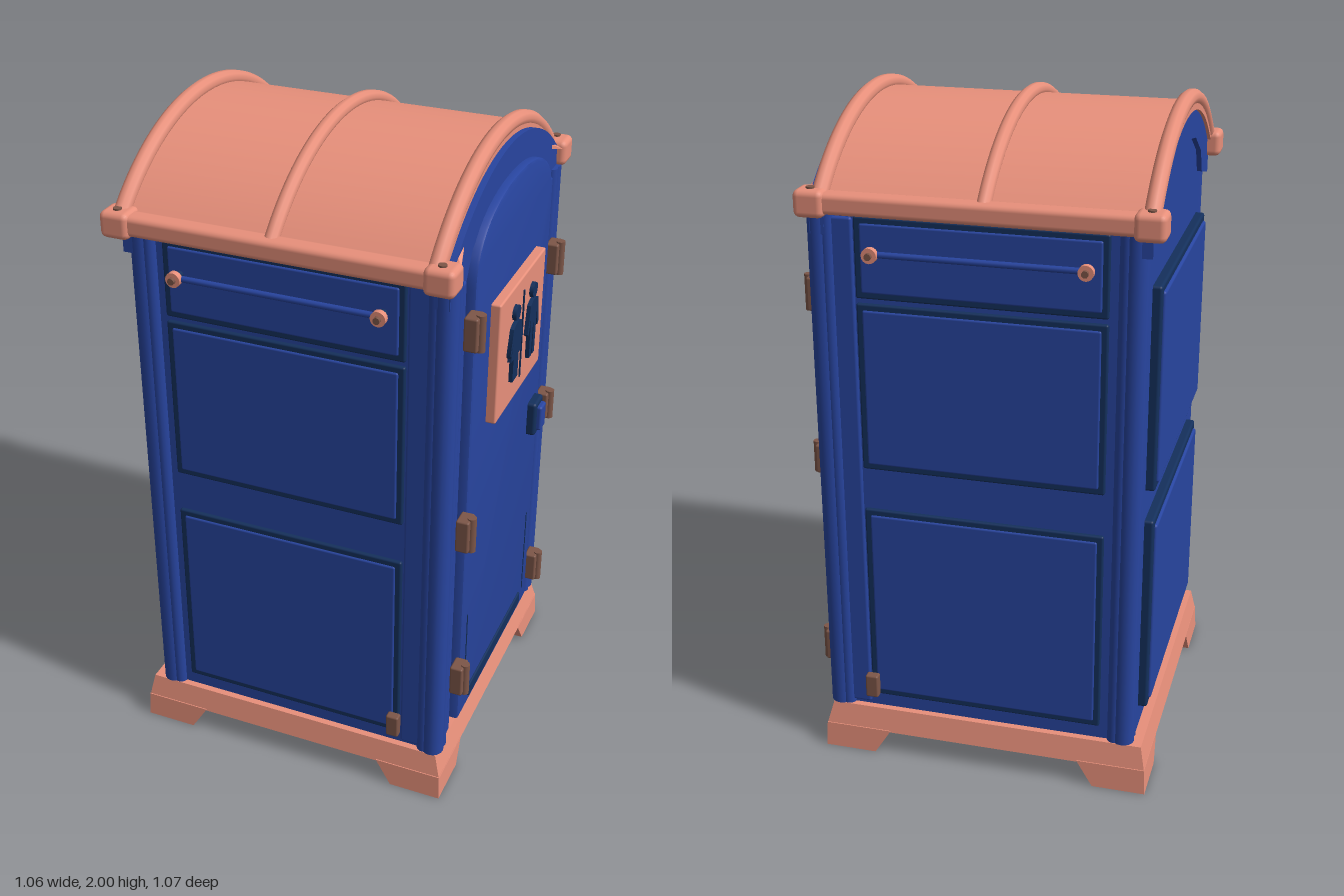
import * as THREE from 'three';
import { toCreasedNormals } from 'three/addons/utils/BufferGeometryUtils.js';
import { RoundedBoxGeometry } from 'three/addons/geometries/RoundedBoxGeometry.js';
import { ConvexGeometry } from 'three/addons/geometries/ConvexGeometry.js';

const paint = (color) => new THREE.MeshStandardMaterial({ color, side: THREE.DoubleSide });

export function createModel() {
  const model = new THREE.Group();
  const salmon = paint(0xe8907b), blue = paint(0x2845a0), navy = paint(0x14305c), brown = paint(0x7d5648);

  const add = (name, geo, mat, x = 0, y = 0, z = 0) => {
    const m = new THREE.Mesh(geo, mat);
    m.name = name;
    m.position.set(x, y, z);
    model.add(m);
    return m;
  };
  // box given by its limits, with optional rounding
  const block = (name, mat, x0, x1, y0, y1, z0, z1, r = 0) => {
    const s = [x1 - x0, y1 - y0, z1 - z0];
    const geo = r ? new RoundedBoxGeometry(...s, 2, r) : new THREE.BoxGeometry(...s);
    return add(name, geo, mat, (x0 + x1) / 2, (y0 + y1) / 2, (z0 + z1) / 2);
  };
  // outline drawn as seen from the door side (u = -z), extruded from x0 to x1
  const slab = (name, mat, shape, x0, x1, bevel = 0) => {
    const geo = new THREE.ExtrudeGeometry(shape, {
      depth: x1 - x0 - 2 * bevel, curveSegments: 12, bevelEnabled: bevel > 0,
      bevelSize: bevel, bevelThickness: bevel, bevelOffset: -bevel, bevelSegments: 2,
    });
    geo.translate(0, 0, bevel);
    geo.rotateY(Math.PI / 2);
    return add(name, toCreasedNormals(geo, 0.6), mat, x0);
  };
  const poly = (pts) => new THREE.Shape(pts.map((p) => new THREE.Vector2(...p)));

  // circular roof arch: height at distance u from the middle
  const archY = (u, top) => top - 0.688 + Math.sqrt(0.688 ** 2 - u * u);
  const arch = (half, top, n = 24) => Array.from({ length: n + 1 }, (_, i) => {
    const u = half - (2 * half * i) / n;
    return [u, archY(u, top)];
  });

  // base: tapered deck on four chamfered feet
  const ring = (x0, x1, z, y) => [[x0, y, z], [x1, y, z], [x0, y, -z], [x1, y, -z]];
  const hull = (name, pts) => add(name, new ConvexGeometry(pts.map((p) => new THREE.Vector3(...p))), salmon);
  hull('baseDeck', [...ring(-0.52, 0.485, 0.5, 0.075), ...ring(-0.505, 0.465, 0.485, 0.15)]);
  for (const sx of [-1, 1]) for (const sz of [-1, 1]) {
    const foot = (o, i, c, y) => [[o, o], [o, i], [i + c, i], [i, i + c], [i, o]]
      .map(([a, b]) => [sx * a - 0.018, y, sz * b]);
    hull('baseFoot', [...foot(0.506, 0.345, 0.05, 0), ...foot(0.502, 0.295, 0.07, 0.08)]);
  }

  // cabin core with arched gables
  slab('cabin', blue, poly([[-0.465, 0.15], [0.465, 0.15], ...arch(0.465, 1.95)]), -0.475, 0.435);

  // ridged corner posts
  for (const sx of [-1, 1]) for (const sz of [-1, 1]) {
    const post = (x, z, r) =>
      add('cornerPost', new THREE.CylinderGeometry(r, r, 1.57, 16), blue, sx * x, 0.935, sz * z);
    post(0.445, 0.455, 0.034);
    post(0.42, 0.462, 0.022);
    post(0.455, 0.425, 0.022);
  }
  for (const s of [-1, 1]) block('cornerRib', blue, 0.345, 0.42, 0.16, 1.71, s * 0.462 - 0.012, s * 0.462 + 0.012, 0.008);

  // side walls: bordered panels, towel rail, latch tab
  const panelsY = [[0.195, 0.83], [0.96, 1.465], [1.48, 1.715]];
  for (const s of [-1, 1]) {
    for (const [y0, y1] of panelsY) {
      const layer = (name, mat, inset, z) => block(name, mat, -0.375 + inset, 0.34 - inset,
        y0 + inset, y1 - inset, s * z - 0.01, s * z + 0.01, 0.006);
      layer('sidePanelBorder', navy, 0, 0.466);
      layer('sidePanel', blue, 0.018, 0.471);
    }
    const rail = add('rail', new THREE.CylinderGeometry(0.009, 0.009, 0.6, 10), blue, -0.02, 1.62, s * 0.505);
    rail.rotation.z = Math.PI / 2;
    for (const x of [-0.32, 0.28]) {
      add('railStem', new THREE.CylinderGeometry(0.012, 0.012, 0.05, 10), navy, x, 1.62, s * 0.495).rotation.x = Math.PI / 2;
      add('railKnob', new THREE.CylinderGeometry(0.022, 0.022, 0.018, 16), salmon, x, 1.62, s * 0.515).rotation.x = Math.PI / 2;
      add('railScrew', new THREE.CylinderGeometry(0.01, 0.01, 0.012, 10), brown, x, 1.62, s * 0.529).rotation.x = Math.PI / 2;
    }
    block('latchTab', brown, 0.31, 0.35, 0.2, 0.275, s * 0.494 - 0.014, s * 0.494 + 0.014, 0.006);
  }

  // back wall: two raised bordered panels
  for (const [y0, y1] of [[0.225, 0.85], [0.945, 1.555]]) {
    block('backPanelBorder', navy, -0.502, -0.46, y0, y1, -0.385, 0.385, 0.008);
    block('backPanel', blue, -0.51, -0.46, y0 + 0.02, y1 - 0.02, -0.365, 0.365, 0.008);
  }

  // door outline with a rounded head
  const doorway = (w, y0, shoulder, top) => {
    const s = new THREE.Shape();
    s.moveTo(-w, y0);
    s.lineTo(w, y0);
    s.lineTo(w, shoulder);
    s.bezierCurveTo(w, top - 0.05, w * 0.5, top, 0, top);
    s.bezierCurveTo(-w * 0.5, top, -w, top - 0.05, -w, shoulder);
    return s;
  };
  for (const s of [-1, 1]) {
    block('doorJamb', blue, 0.42, 0.468, 0.16, 1.7, s * 0.4 - 0.035, s * 0.4 + 0.035, 0.01);
  }
  slab('doorGap', navy, doorway(0.365, 0.17, 1.66, 1.875), 0.42, 0.45);
  slab('door', blue, doorway(0.345, 0.19, 1.66, 1.865), 0.43, 0.487, 0.008);
  block('kickBar', navy, 0.47, 0.493, 0.215, 0.26, -0.26, 0.26, 0.005);
  for (const s of [-1, 1]) block('doorGroove', navy, 0.48, 0.4885, 0.25, 0.56, s * 0.295 - 0.003, s * 0.295 + 0.003);

  // curved hoods under the roof at both ends
  const hood = poly([...arch(0.485, 1.95),
    [-0.485, 1.66], [-0.36, 1.69], [-0.32, 1.765], [-0.2, 1.83], [0, 1.865],
    [0.2, 1.83], [0.32, 1.765], [0.36, 1.69], [0.485, 1.66]]);
  slab('doorHood', blue, hood, 0.42, 0.463);
  slab('backHood', blue, hood, -0.49, -0.46);

  // hinges on both door edges
  const hinge = (y0, y1, z) => {
    block('hinge', brown, 0.475, 0.515, y0, y1, z - 0.029, z + 0.029, 0.006);
    add('hingePin', new THREE.CylinderGeometry(0.014, 0.014, y1 - y0 + 0.008, 12), brown, 0.515, (y0 + y1) / 2, z);
  };
  for (const [y0, y1] of [[1.51, 1.61], [0.865, 0.97], [0.34, 0.44]]) hinge(y0, y1, 0.38);
  for (const [y0, y1] of [[1.405, 1.505], [0.895, 0.985], [0.25, 0.35]]) hinge(y0, y1, -0.38);

  // lock plate
  block('lockPlate', navy, 0.475, 0.515, 0.9, 1.015, -0.305, -0.225, 0.01);
  block('lockHandle', blue, 0.5, 0.53, 0.915, 1.0, -0.29, -0.24, 0.008);

  // sign with two pictograms
  block('signBoard', salmon, 0.48, 0.516, 1.185, 1.56, -0.21, 0.21, 0.006);
  block('signDivider', navy, 0.51, 0.52, 1.235, 1.515, -0.003, 0.003);
  const mirrored = (half, cu) => poly([
    ...half.map(([u, y]) => [cu + u, y]),
    ...half.slice().reverse().map(([u, y]) => [cu - u, y])]);
  const dress = [[0.005, 1.27], [0.024, 1.27], [0.024, 1.345], [0.046, 1.345], [0.034, 1.4],
    [0.052, 1.36], [0.056, 1.375], [0.036, 1.445], [0.012, 1.455]];
  const suit = [[0.004, 1.375], [0.005, 1.27], [0.026, 1.27], [0.028, 1.4], [0.044, 1.35],
    [0.054, 1.36], [0.036, 1.445], [0.012, 1.455]];
  for (const [cu, half] of [[-0.08, dress], [0.08, suit]]) {
    slab('pictogramBody', navy, mirrored(half, cu), 0.51, 0.528);
    add('pictogramHead', new THREE.CylinderGeometry(0.023, 0.023, 0.018, 20), navy, 0.519, 1.482, -cu).rotation.z = Math.PI / 2;
  }

  // vaulted roof shell with three ribs
  slab('roofShell', salmon, poly([...arch(0.49, 1.968), ...arch(0.49, 1.94).reverse()]), -0.5, 0.445);
  const path = new THREE.CatmullRomCurve3(arch(0.49, 1.976).map(([u, y]) => new THREE.Vector3(0, y, u)));
  for (const [x, r] of [[-0.485, 0.024], [-0.035, 0.021], [0.425, 0.024]]) {
    add('roofRib', new THREE.TubeGeometry(path, 40, r, 10), salmon, x);
  }

  // eaves with screwed corner caps
  for (const s of [-1, 1]) {
    block('eave', salmon, -0.5, 0.46, 1.725, 1.785, s * 0.497 - 0.031, s * 0.497 + 0.031, 0.016);
    for (const x of [-0.487, 0.446]) {
      block('cornerCap', salmon, x - 0.044, x + 0.044, 1.715, 1.793, s * 0.495 - 0.042, s * 0.495 + 0.042, 0.018);
      add('capScrew', new THREE.CylinderGeometry(0.012, 0.012, 0.008, 12), brown, x, 1.794, s * 0.503);
    }
    // flared wings reaching from the door-side roof edge to the caps
    hull('roofWing', [[0.43, 1.8, s * 0.4], [0.455, 1.8, s * 0.36], [0.48, 1.77, s * 0.46],
      [0.43, 1.77, s * 0.46], [0.455, 1.82, s * 0.36], [0.43, 1.83, s * 0.38]]);
  }
  return model;
}
